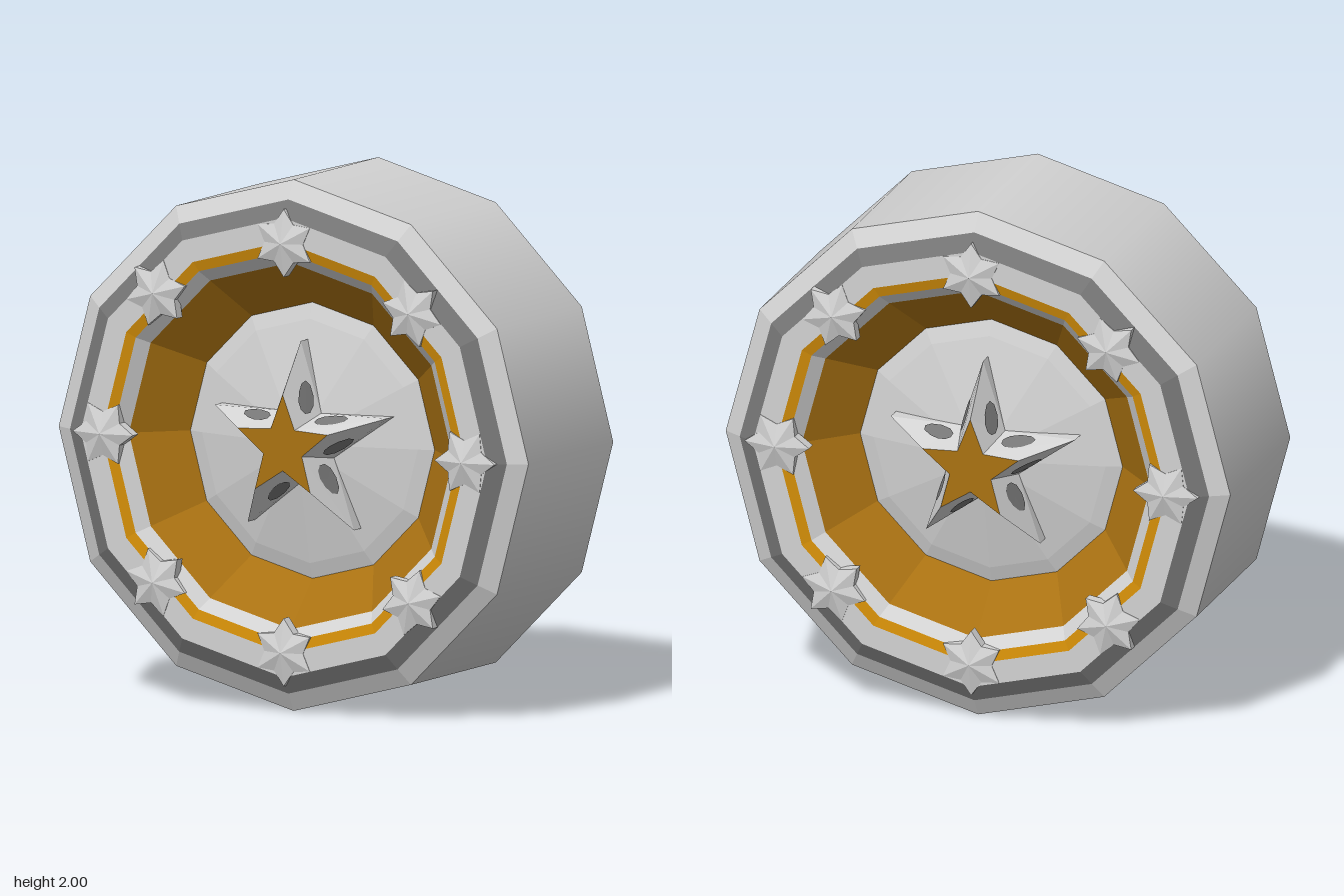
import * as THREE from 'three';

const mat = (name, color) => {
  const m = new THREE.MeshStandardMaterial({ color });
  m.name = name;
  return m;
};

// Mesh with one flat normal per face
function flatMesh(name, geo, material) {
  const g = geo.index ? geo.toNonIndexed() : geo;
  g.computeVertexNormals();
  const mesh = new THREE.Mesh(g, material);
  mesh.name = name;
  return mesh;
}

// Twelve-sided ring about z; the profile is [radius, z] from outside to inside
function lathe(profile) {
  const pts = profile.map(([r, z]) => new THREE.Vector2(r, z));
  return new THREE.LatheGeometry(pts, 12).rotateX(Math.PI / 2);
}

// Star outline: alternating tips and notches, counter-clockwise
function starPoints(n, tip, notch, z, start) {
  return Array.from({ length: n * 2 }, (_, i) => {
    const a = start + (i * Math.PI) / n, r = i % 2 ? notch : tip;
    return new THREE.Vector3(Math.cos(a) * r, Math.sin(a) * r, z);
  });
}

const fromTriangles = (pts) => new THREE.BufferGeometry().setFromPoints(pts);

// Walls between successive outlines of equal length
function loft(rings) {
  const tris = [];
  for (let k = 0; k + 1 < rings.length; k++) {
    const a = rings[k], b = rings[k + 1];
    a.forEach((p, i) => {
      const j = (i + 1) % a.length;
      tris.push(p, a[j], b[j], p, b[j], b[i]);
    });
  }
  return fromTriangles(tris);
}

// Fan from a centre point to an outline
function fan(centre, ring) {
  return fromTriangles(ring.flatMap((p, i) => [centre, p, ring[(i + 1) % ring.length]]));
}

// Small lens-shaped inlays on the sloping walls of the hub star
function inlays(lower, upper) {
  const tris = [];
  lower.forEach((p, i) => {
    const j = (i + 1) % lower.length;
    const at = (u, v) => p.clone().lerp(lower[j], u).lerp(upper[i].clone().lerp(upper[j], u), v);
    const normal = at(1, 0.5).sub(at(0, 0.5)).cross(at(0.5, 1).sub(at(0.5, 0))).normalize();
    const cu = i % 2 ? 0.36 : 0.64;
    const ring = Array.from({ length: 10 }, (_, k) => {
      const a = (k / 10) * Math.PI * 2;
      return at(cu + 0.25 * Math.cos(a), 0.37 + 0.27 * Math.sin(a)).addScaledVector(normal, 0.005);
    });
    const mid = at(cu, 0.37).addScaledVector(normal, 0.005);
    ring.forEach((q, k) => tris.push(mid, q, ring[(k + 1) % ring.length]));
  });
  return fromTriangles(tris);
}

export function createModel() {
  const silver = mat('silver', 0xd2d2d2);
  const grey = mat('darkGrey', 0x777777);
  const gold = mat('gold', 0xd08c08);
  const bronze = mat('bronze', 0xaa7212);

  const model = new THREE.Group();
  model.name = 'wheel';

  // Tread, smooth around its circumference
  const tread = new THREE.Mesh(lathe([[1, -0.325], [1, 0.325]]), silver);
  tread.name = 'tread';
  model.add(tread);

  function buildFace(name) {
    const face = new THREE.Group();
    face.name = name;

    // Concentric bands from the tyre edge to the hub
    const bands = [
      ['tyreBevel', silver, [[1, 0.325], [0.93, 0.365]]],
      ['darkBand', grey, [[0.93, 0.365], [0.865, 0.4]]],
      ['rimBand', silver, [[0.865, 0.4], [0.775, 0.4]]],
      ['goldRing', gold, [[0.775, 0.4], [0.735, 0.39]]],
      ['innerLip', silver, [[0.735, 0.39], [0.69, 0.345]]],
      ['dish', bronze, [[0.69, 0.345], [0.52, 0.18]]],
      ['hub', silver, [[0.52, 0.18], [0.46, 0.2], [0, 0.3]]],
    ];
    for (const [n, m, profile] of bands) face.add(flatMesh(n, lathe(profile), m));

    // Raised hub star with an inset cap
    const up = Math.PI / 2;
    const foot = starPoints(5, 0.385, 0.147, 0.19, up);
    const lower = starPoints(5, 0.385, 0.147, 0.27, up);
    const upper = starPoints(5, 0.2, 0.086, 0.41, up);
    face.add(flatMesh('hubStar', loft([foot, lower, upper]), silver));
    face.add(flatMesh('hubStarCap', fan(new THREE.Vector3(0, 0, 0.41), upper), bronze));
    face.add(flatMesh('hubStarInlays', inlays(lower, upper), grey));

    // Eight studs around the rim, each with a tip pointing to the hub
    for (let i = 0; i < 8; i++) {
      const a = (i * Math.PI) / 4;
      const stud = new THREE.Group();
      stud.name = 'rimStar';
      const base = starPoints(6, 0.128, 0.082, 0.36, Math.PI);
      const edge = starPoints(6, 0.128, 0.082, 0.402, Math.PI);
      stud.add(flatMesh('rimStarSide', loft([base, edge]), silver));
      stud.add(flatMesh('rimStarTop', fan(new THREE.Vector3(0, 0, 0.43), edge), silver));
      stud.position.set(Math.cos(a) * 0.77, Math.sin(a) * 0.77, 0);
      stud.rotation.z = a;
      face.add(stud);
    }
    return face;
  }

  model.add(buildFace('frontFace'));
  const back = buildFace('backFace');
  back.rotation.y = Math.PI;
  model.add(back);

  model.position.y = 1;
  const root = new THREE.Group();
  root.name = 'starWheel';
  root.add(model);
  return root;
}
